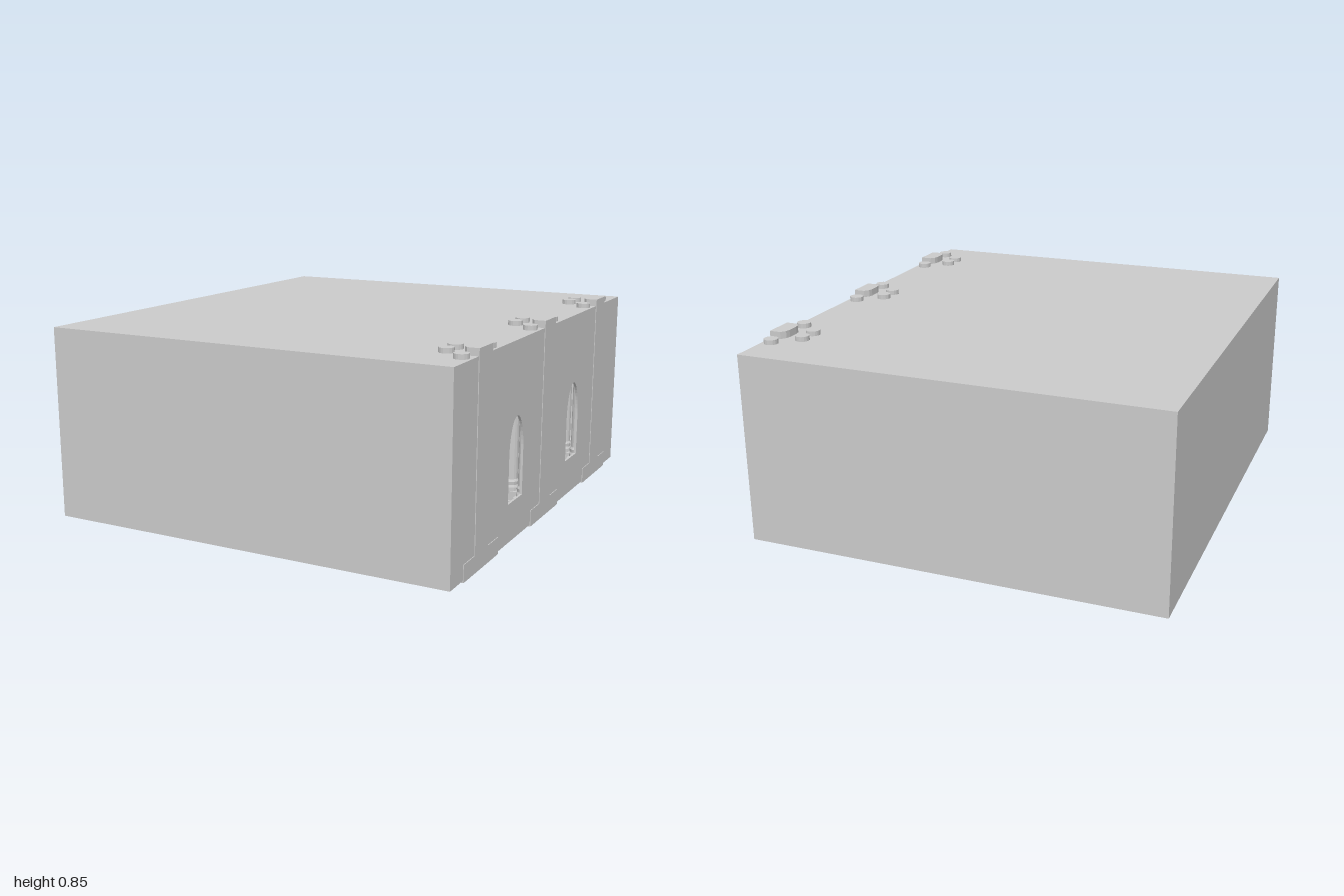
import * as THREE from 'three';

const material = new THREE.MeshStandardMaterial({ color: 0xcccccc, flatShading: true, side: THREE.DoubleSide });

function add(parent, name, geometry, x = 0, y = 0, z = 0) {
  const mesh = new THREE.Mesh(geometry, material);
  mesh.name = name;
  mesh.position.set(x, y, z);
  parent.add(mesh);
  return mesh;
}

// box given by its limits
function block(parent, name, x0, x1, y0, y1, z0, z1) {
  return add(parent, name, new THREE.BoxGeometry(x1 - x0, y1 - y0, z1 - z0),
    (x0 + x1) / 2, (y0 + y1) / 2, (z0 + z1) / 2);
}

// upright prism from an outline of [x, z] points
function prism(parent, name, points, y0, y1) {
  const shape = new THREE.Shape(points.map(([x, z]) => new THREE.Vector2(x, -z)));
  const geometry = new THREE.ExtrudeGeometry(shape, { depth: y1 - y0, bevelEnabled: false });
  geometry.rotateX(-Math.PI / 2);
  return add(parent, name, geometry, 0, y0, 0);
}

const LEFT = -0.9, RIGHT = 0.886, FLOOR = 0.008, TOP = 0.82, T = 0.01;

// wall pierced by round-headed windows
function windowWall(parent) {
  const shape = new THREE.Shape();
  shape.moveTo(-1, FLOOR);
  shape.lineTo(1, FLOOR);
  shape.lineTo(1, TOP);
  shape.lineTo(-1, TOP);
  shape.closePath();
  for (const z of [0.365, -0.34]) {
    const hole = new THREE.Path();
    hole.moveTo(-z - 0.078, 0.17);
    hole.lineTo(-z + 0.078, 0.17);
    hole.lineTo(-z + 0.078, 0.36);
    hole.absellipse(-z, 0.36, 0.078, 0.155, 0, Math.PI, false);
    hole.closePath();
    shape.holes.push(hole);
  }
  const geometry = new THREE.ExtrudeGeometry(shape, { depth: T, bevelEnabled: false, curveSegments: 12 });
  geometry.rotateY(Math.PI / 2);
  add(parent, 'windowWall', geometry, RIGHT - T, 0, 0);
}

// stepped plinth outline, narrower towards the room
function steppedOutline(inset) {
  const half = [
    [0.889, 0.17 - inset], [0.795 + inset, 0.17 - inset],
    [0.795 + inset, 0.09 - inset], [0.705 + inset, 0.09 - inset],
  ];
  return [...half, ...half.map(([x, z]) => [x, -z]).reverse()];
}

// clustered pier: plinth, pilaster and four slender shafts
function pier(z) {
  const group = new THREE.Group();
  group.name = 'pier';
  group.position.z = z;
  prism(group, 'plinth', steppedOutline(0), 0, 0.07);
  prism(group, 'upperPlinth', steppedOutline(0.01).map(([x, pz]) => [Math.min(x, 0.88), pz]), 0.07, 0.11);
  prism(group, 'pilaster', [
    [0.889, 0.065], [0.84, 0.065], [0.824, 0.045], [0.82, 0.025],
    [0.82, -0.025], [0.824, -0.045], [0.84, -0.065], [0.889, -0.065],
  ], 0.07, 0.85);

  // moulded foot and shaft in one turned profile
  const profile = [
    [0, 0.11], [0.037, 0.11], [0.037, 0.125], [0.033, 0.135], [0.035, 0.15],
    [0.03, 0.16], [0.03, 0.84], [0, 0.84],
  ].map(([r, y]) => new THREE.Vector2(r, y));
  for (const side of [-1, 1]) {
    add(group, 'innerShaft', new THREE.LatheGeometry(profile, 16), 0.75, 0, side * 0.042);
    add(group, 'outerShaft', new THREE.LatheGeometry(profile, 16), 0.845, 0, side * 0.126);
  }
  return group;
}

export function createModel() {
  const model = new THREE.Group();
  model.name = 'vaultedHall';

  // hollow shell
  block(model, 'floor', LEFT, RIGHT, FLOOR, FLOOR + T, -1, 1);
  block(model, 'roof', LEFT, RIGHT, TOP - T, TOP, -1, 1);
  block(model, 'leftWall', LEFT, LEFT + T, FLOOR, TOP, -1, 1);
  block(model, 'frontWall', LEFT, RIGHT, FLOOR, TOP, 1 - T, 1);
  block(model, 'backWall', LEFT, RIGHT, FLOOR, TOP, -1, -1 + T);
  windowWall(model);

  for (const z of [0.715, 0.01, -0.695]) model.add(pier(z));
  return model;
}
